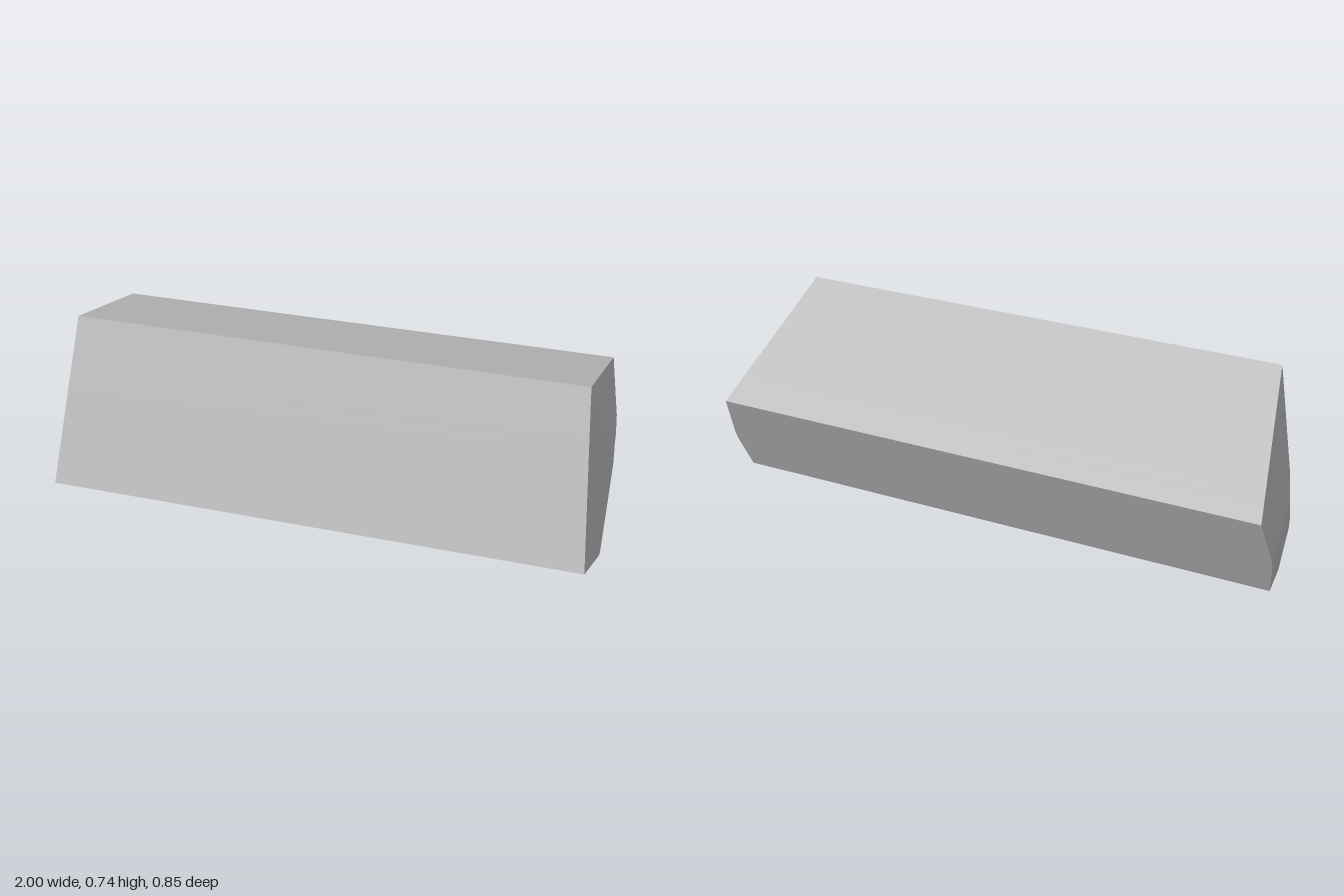
import * as THREE from 'three';

// Cross-section corners as [z, y]: front bottom, front top, back top, back bottom, underside
const CORNERS = [[0.397, 0.157], [0.173, 0.737], [-0.4, 0.513], [-0.243, 0.119], [0.007, 0]];
const CENTRE = [-0.01, 0.345];
const EDGE_STEPS = 12;
const RINGS = 12;

// Half length of the bar at a point of the section; it tapers towards the top front
function halfLength(z, y) {
  const dz = z + 0.176, dy = y + 0.067;
  const s = THREE.MathUtils.clamp((dz * 0.573 + dy * 0.224) / 0.3785, 0, 1);
  const t = THREE.MathUtils.clamp((-dz * 0.224 + dy * 0.58) / 0.3866, 0, 1);
  const far = Math.max(s, t), near = Math.min(s, t);
  const start = 0.63 - 0.3 * near;
  const w = THREE.MathUtils.clamp((far - start) / (1 - start), 0, 1);
  return 0.994 - w * (0.047 + 0.068 * near);
}

// Closed outline of the section
function outline() {
  const points = [];
  CORNERS.forEach((a, i) => {
    const b = CORNERS[(i + 1) % CORNERS.length];
    for (let k = 0; k < EDGE_STEPS; k++) {
      const f = k / EDGE_STEPS;
      points.push([a[0] + (b[0] - a[0]) * f, a[1] + (b[1] - a[1]) * f]);
    }
  });
  return points;
}

function makeGeometry(positions, index) {
  const geometry = new THREE.BufferGeometry();
  geometry.setAttribute('position', new THREE.Float32BufferAttribute(positions, 3));
  geometry.setIndex(index);
  geometry.computeVertexNormals();
  return geometry;
}

// One long flat face between two section corners
function sideGeometry(points, edge) {
  const positions = [], index = [];
  for (let k = 0; k <= EDGE_STEPS; k++) {
    const [z, y] = points[(edge * EDGE_STEPS + k) % points.length];
    const x = halfLength(z, y);
    positions.push(-x, y, z, x, y, z);
    if (k < EDGE_STEPS) {
      const a = k * 2;
      index.push(a, a + 1, a + 3, a, a + 3, a + 2);
    }
  }
  return makeGeometry(positions, index);
}

// Gently domed end made of rings around the section centre
function endGeometry(points, side) {
  const n = points.length, positions = [], index = [];
  const add = (z, y) => positions.push(side * halfLength(z, y), y, z);
  const tri = (a, b, c) => (side > 0 ? index.push(a, c, b) : index.push(a, b, c));
  add(...CENTRE);
  for (let r = 1; r <= RINGS; r++) {
    const f = r / RINGS;
    for (const [z, y] of points) {
      add(CENTRE[0] + (z - CENTRE[0]) * f, CENTRE[1] + (y - CENTRE[1]) * f);
    }
  }
  for (let i = 0; i < n; i++) {
    const j = (i + 1) % n;
    tri(0, 1 + i, 1 + j);
    for (let r = 1; r < RINGS; r++) {
      const inner = 1 + (r - 1) * n, outer = inner + n;
      tri(inner + i, outer + i, outer + j);
      tri(inner + i, outer + j, inner + j);
    }
  }
  return makeGeometry(positions, index);
}

export function createModel() {
  const grey = new THREE.MeshStandardMaterial({ color: 0xc0c0c0 });
  grey.name = 'light grey';
  const model = new THREE.Group();
  model.name = 'bar';
  const points = outline();
  const add = (name, geometry) => {
    const mesh = new THREE.Mesh(geometry, grey);
    mesh.name = name;
    model.add(mesh);
  };

  // Long faces
  ['frontFace', 'topFace', 'backFace', 'lowerBackFace', 'lowerFrontFace']
    .forEach((name, i) => add(name, sideGeometry(points, i)));

  // Domed ends
  add('leftEnd', endGeometry(points, 1));
  add('rightEnd', endGeometry(points, -1));

  // Slight turn about the upright axis
  model.rotation.y = 0.027;
  return model;
}
